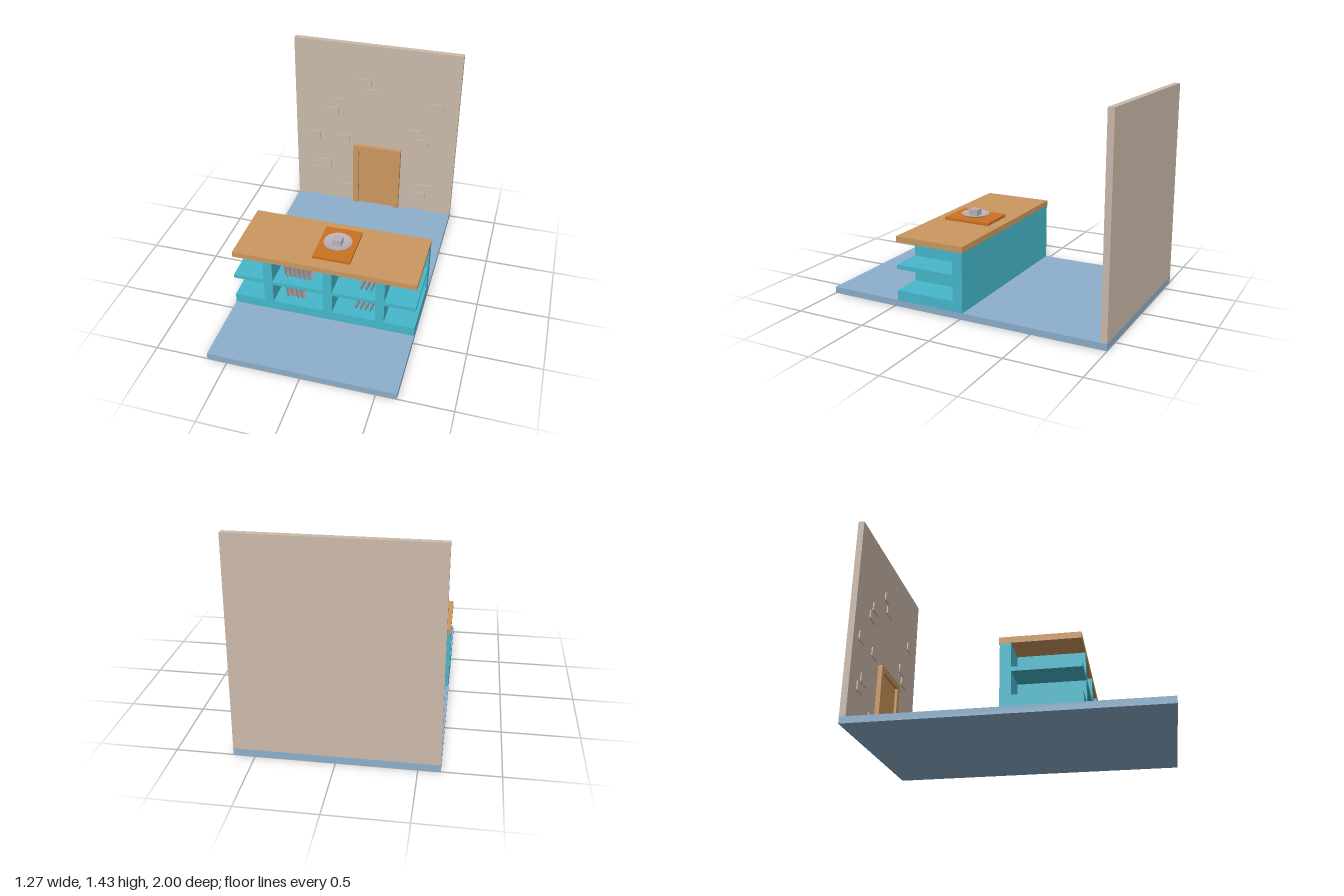
import * as THREE from 'three';

const mat = (name, color) => {
  const m = new THREE.MeshStandardMaterial({ color });
  m.name = name;
  return m;
};

export function createModel() {
  const root = new THREE.Group();
  root.name = 'kitchenCounter';
  const stone = mat('stone', 0xccbbac);
  const floorBlue = mat('floorBlue', 0x8cafcc);
  const teal = mat('teal', 0x46b9cc);
  const wood = mat('wood', 0xcc9860);
  const orange = mat('orange', 0xcc7220);
  const china = mat('china', 0xbcb0b6);
  const W = 0.637;

  // box given by its min and max on each axis
  const box = (name, m, x0, x1, y0, y1, z0, z1, parent = root) => {
    const mesh = new THREE.Mesh(new THREE.BoxGeometry(x1 - x0, y1 - y0, z1 - z0), m);
    mesh.position.set((x0 + x1) / 2, (y0 + y1) / 2, (z0 + z1) / 2);
    mesh.name = name;
    parent.add(mesh);
    return mesh;
  };
  const group = (name) => {
    const g = new THREE.Group();
    g.name = name;
    root.add(g);
    return g;
  };
  const roundRect = (w, h, r) => {
    const s = new THREE.Shape(), x = w / 2, y = h / 2;
    s.moveTo(-x + r, -y);
    s.lineTo(x - r, -y).quadraticCurveTo(x, -y, x, -y + r);
    s.lineTo(x, y - r).quadraticCurveTo(x, y, x - r, y);
    s.lineTo(-x + r, y).quadraticCurveTo(-x, y, -x, y - r);
    s.lineTo(-x, -y + r).quadraticCurveTo(-x, -y, -x + r, -y);
    return s;
  };

  // floor and back wall
  box('floor', floorBlue, -W, W, 0, 0.045, -1, 1);
  box('wall', stone, -W, W, 0.045, 1.435, -1, -0.958);

  // raised bricks
  const bricks = group('bricks');
  const brickGeo = new THREE.ExtrudeGeometry(roundRect(0.108, 0.067, 0.01),
    { depth: 0.013, bevelEnabled: false, curveSegments: 3 });
  const spots = [[-0.088, 1.13], [-0.033, 1.05], [-0.3, 0.938], [-0.346, 0.855], [0.465, 0.99],
    [0.315, 0.747], [0.372, 0.667], [-0.5, 0.625], [-0.256, 0.622], [-0.41, 0.37],
    [-0.46, 0.295], [-0.23, 0.165], [0.42, 0.26], [0.37, 0.18]];
  for (const [x, y] of spots) {
    const b = new THREE.Mesh(brickGeo, stone);
    b.name = 'brick';
    b.position.set(x, y, -0.962);
    bricks.add(b);
  }

  // door with a softened frame
  const door = group('door');
  const f = new THREE.Shape();
  f.moveTo(-0.165, 0.045).lineTo(-0.12, 0.045).lineTo(-0.12, 0.542).lineTo(0.173, 0.542);
  f.lineTo(0.173, 0.045).lineTo(0.215, 0.045).lineTo(0.215, 0.573);
  f.quadraticCurveTo(0.215, 0.585, 0.203, 0.585).lineTo(-0.153, 0.585);
  f.quadraticCurveTo(-0.165, 0.585, -0.165, 0.573);
  const frame = new THREE.Mesh(new THREE.ExtrudeGeometry(f,
    { depth: 0.032, bevelEnabled: false, curveSegments: 4 }), wood);
  frame.position.z = -0.958;
  frame.name = 'doorFrame';
  door.add(frame);
  box('doorPanel', wood, -0.12, 0.173, 0.045, 0.542, -0.958, -0.945, door);

  // counter: back panel, shelves, dividers and top
  const counter = group('counter');
  box('backPanel', teal, -W, W, 0.045, 0.45, -0.02, 0.05, counter);
  box('bottomShelf', teal, -W, W, 0.045, 0.115, 0.05, 0.475, counter);
  box('middleShelf', teal, -W, W, 0.265, 0.293, 0.05, 0.475, counter);
  for (const [a, b] of [[-0.42, -0.356], [0, 0.064], [0.364, 0.425]])
    for (const [y0, y1] of [[0.115, 0.265], [0.293, 0.45]])
      box('divider', teal, a, b, y0, y1, 0.05, 0.475, counter);
  box('counterTop', wood, -W, W, 0.45, 0.49, -0.025, 0.475, counter);

  // plates: one on the tray, the rest leaning in the shelves
  const plateGeo = new THREE.LatheGeometry([[0, 0], [0.055, 0], [0.08, 0.007], [0.1, 0.017],
    [0.098, 0.02], [0.075, 0.012], [0.05, 0.007], [0, 0.007]]
    .map(([x, y]) => new THREE.Vector2(x, y)), 32);
  const plate = (name, x, y, z, scale, turn, parent) => {
    const p = new THREE.Mesh(plateGeo, china);
    p.name = name;
    p.position.set(x, y, z);
    p.scale.setScalar(scale);
    p.rotation.z = turn;
    parent.add(p);
  };
  const serving = group('serving');
  box('tray', orange, -0.095, 0.165, 0.49, 0.51, 0.05, 0.39, serving);
  plate('servedPlate', 0.035, 0.51, 0.22, 1, 0, serving);
  box('food', china, 0.003, 0.067, 0.517, 0.56, 0.19, 0.254, serving);

  const stacks = group('shelfPlates');
  const lean = 0.13;
  // count, first x, spacing, centre height, side
  for (const [n, x0, step, y, side] of [[6, -0.287, 0.0325, 0.37, -1], [4, -0.28, 0.0335, 0.191, -1],
    [3, 0.27, 0.034, 0.37, 1], [4, 0.235, 0.034, 0.191, 1]])
    for (let i = 0; i < n; i++)
      plate('shelfPlate', x0 + i * step, y, 0.37, 0.755, side * (Math.PI / 2 - lean), stacks);

  return root;
}
